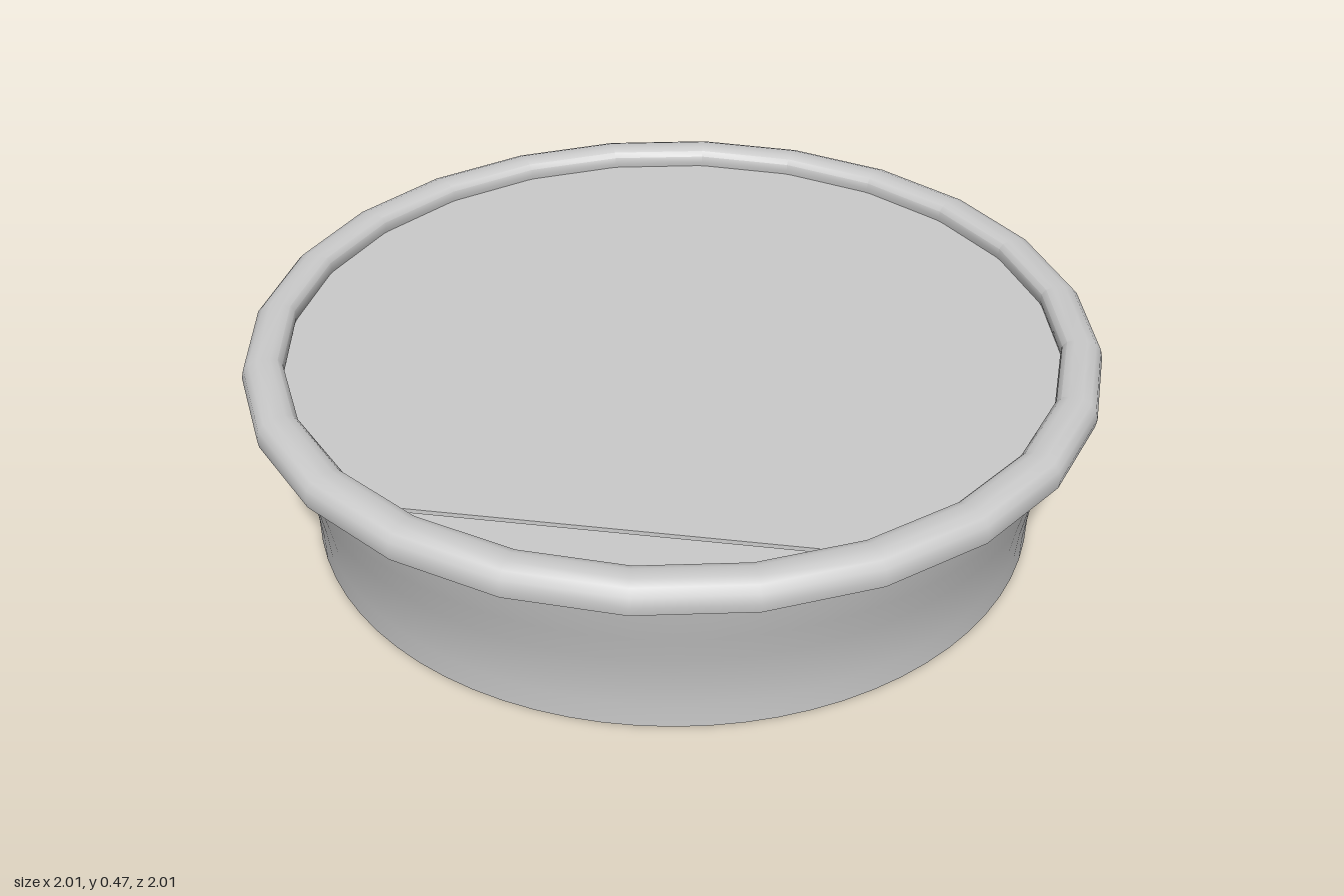
import * as THREE from 'three';
import { toCreasedNormals } from 'three/addons/utils/BufferGeometryUtils.js';

const grey = new THREE.MeshStandardMaterial({ color: 0xcccccc, side: THREE.DoubleSide });

function add(parent, name, geometry) {
  const mesh = new THREE.Mesh(geometry, grey);
  mesh.name = name;
  parent.add(mesh);
  return mesh;
}

// Closed profile of [radius, height] points, outside upwards then inside downwards
function ringOf(profile, sides) {
  const points = [...profile, profile[0]].map(([r, y]) => new THREE.Vector2(r, y));
  return toCreasedNormals(new THREE.LatheGeometry(points, sides), 0.6);
}

export function createModel() {
  const model = new THREE.Group();
  model.name = 'showerHead';

  // Flared wall and everything it carries sit slightly off the rim's centre
  const body = new THREE.Group();
  body.name = 'body';
  body.position.set(-0.005, 0, 0.013);
  model.add(body);

  add(body, 'wall', ringOf([
    [0.865, 0], [0.866, 0.06], [0.873, 0.13], [0.886, 0.2], [0.903, 0.27], [0.92, 0.34], [0.933, 0.41],
    [0.905, 0.41], [0.895, 0.34], [0.878, 0.25], [0.86, 0.15], [0.852, 0.06], [0.852, 0],
  ], 72));

  // Rounded rim with coarser sides
  add(model, 'rim', ringOf([
    [0.915, 0.4], [1, 0.4], [1.003, 0.42], [0.998, 0.442], [0.985, 0.457], [0.965, 0.465],
    [0.935, 0.465], [0.918, 0.46], [0.908, 0.448], [0.906, 0.43],
  ], 24));

  // Top cover, cut off along a chord that leaves a narrow opening
  const outline = new THREE.Shape();
  const start = THREE.MathUtils.degToRad(158), end = THREE.MathUtils.degToRad(450);
  outline.absarc(0, 0, 0.908, start, end, false);
  outline.closePath();
  const cover = new THREE.ExtrudeGeometry(outline, { depth: 0.01, bevelEnabled: false, curveSegments: 48 });
  cover.rotateX(Math.PI / 2);
  add(model, 'cover', cover).position.y = 0.42;

  // Recessed spray plate
  const plateY = 0.03;
  const plate = new THREE.CylinderGeometry(0.853, 0.853, 0.012, 72);
  add(body, 'sprayPlate', plate).position.y = plateY + 0.006;

  // Small nozzles in concentric rings
  const nozzles = new THREE.Group();
  nozzles.name = 'nozzles';
  body.add(nozzles);
  const nozzle = new THREE.CylinderGeometry(0.011, 0.009, 0.012, 8);
  const rings = [[0, 1], [0.125, 18], [0.25, 28], [0.37, 36], [0.49, 44], [0.61, 48], [0.73, 60]];
  for (const [radius, count] of rings) {
    for (let i = 0; i < count; i++) {
      const a = (i / count) * Math.PI * 2;
      add(nozzles, 'nozzle', nozzle).position.set(radius * Math.cos(a), plateY - 0.005, radius * Math.sin(a));
    }
  }

  // Pointed teeth around the plate edge, facing inwards on both sides
  const teeth = new THREE.Group();
  teeth.name = 'teeth';
  body.add(teeth);
  const tooth = new THREE.ConeGeometry(0.013, 0.07, 4);
  tooth.rotateZ(Math.PI / 2);
  tooth.translate(0.82, plateY + 0.006, 0);
  const toothCount = 90;
  for (let i = 0; i < toothCount; i++) {
    add(teeth, 'tooth', tooth).rotation.y = (i / toothCount) * Math.PI * 2;
  }

  return model;
}
